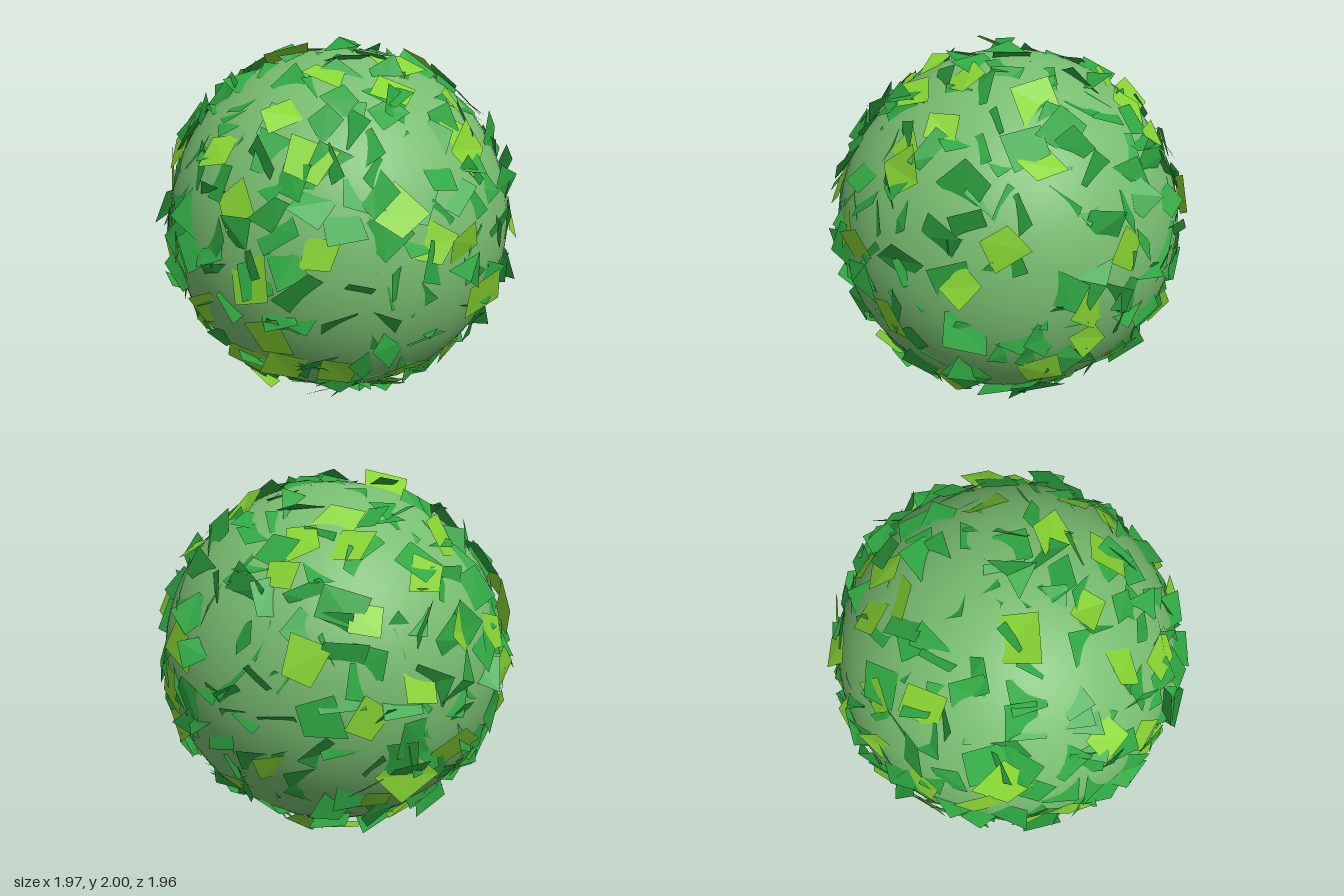
import * as THREE from 'three';

const CENTER = new THREE.Vector3(0, 1.01, 0);
const R = 0.923;
// Leaves stay inside these limits
const LIMIT = new THREE.Vector3(0.98, 0.985, 0.98);
const LOW = LIMIT.clone().negate();

// Small seeded generator
let seed = 20;
function rnd(a = 0, b = 1) {
  seed = (seed * 1664525 + 1013904223) % 4294967296;
  return a + (b - a) * (seed / 4294967296);
}

// Bright leaves at chosen places, as two coordinates on each side of the ball
const FRONT = [[-0.05, 0.76], [-0.55, 0.67], [0.27, 0.48], [0.3, 0.69], [-0.25, 0.28], [-0.6, 0.1], [-0.09, 0.11],
  [0.08, 0.09], [0.65, 0.04], [-0.07, -0.61], [-0.42, -0.56], [0.3, -0.23], [0.35, -0.66], [-0.62, -0.54]];
const RIGHT = [[0.25, 0.57], [-0.45, 0.77], [0.48, 0.24], [-0.1, 0.14], [0.08, -0.09], [0.08, -0.31],
  [-0.72, 0.19], [0.28, -0.46], [-0.25, -0.56], [-0.53, -0.38], [0.7, 0.57], [-0.7, -0.58], [-0.5, 0.54]];
const TOP = [[-0.5, -0.75], [-0.06, -0.76], [0.3, -0.8], [-0.26, -0.58], [0.25, -0.6], [0.42, -0.45], [-0.72, -0.4],
  [-0.25, -0.08], [-0.77, 0.1], [-0.27, 0.28], [0.13, 0.32], [0.48, 0.12], [-0.55, 0.55]];
const rest = (a, b) => Math.sqrt(Math.max(0.001, R * R - a * a - b * b));

// Evenly spread directions, shaken a little
function spread(count) {
  return Array.from({ length: count }, (_, i) => {
    const y = 1 - (2 * (i + 0.5)) / count;
    const r = Math.sqrt(1 - y * y), a = i * 2.39996;
    return new THREE.Vector3(r * Math.cos(a) + rnd(-0.1, 0.1), y + rnd(-0.1, 0.1), r * Math.sin(a) + rnd(-0.1, 0.1)).normalize();
  });
}

// One uneven four-cornered leaf, tilted against the ball and partly sunk in it
function leafCorners(dir, tilt, size, lift) {
  const n = dir.clone().add(new THREE.Vector3(rnd(-tilt, tilt), rnd(-tilt, tilt), rnd(-tilt, tilt))).normalize();
  const u = new THREE.Vector3(rnd(-1, 1), rnd(-1, 1), rnd(-1, 1)).cross(n).normalize();
  const v = n.clone().cross(u);
  const c = dir.clone().multiplyScalar(lift);
  return [[-1, -1], [1, -1], [1, 1], [-1, 1]].map(([a, b]) => c.clone()
    .addScaledVector(u, a * size * rnd(0.7, 1.2))
    .addScaledVector(v, b * size * rnd(0.7, 1.2))
    .addScaledVector(n, rnd(-0.015, 0.015))
    .clampLength(0, 1.02)
    .clamp(LOW, LIMIT));
}

// Gather leaves into a single flat-shaded mesh
function leafMesh(name, color, leaves) {
  const pos = [];
  for (const q of leaves)
    for (const i of [0, 1, 2, 0, 2, 3]) pos.push(...q[i].toArray());
  const geo = new THREE.BufferGeometry();
  geo.setAttribute('position', new THREE.Float32BufferAttribute(pos, 3));
  geo.computeVertexNormals();
  const mesh = new THREE.Mesh(geo, new THREE.MeshStandardMaterial({ color, side: THREE.DoubleSide }));
  mesh.name = name;
  mesh.position.copy(CENTER);
  return mesh;
}

export function createModel() {
  seed = 20;
  const group = new THREE.Group();
  group.name = 'leafyBush';

  // Smooth inner ball
  const ball = new THREE.Mesh(new THREE.SphereGeometry(R, 64, 48), new THREE.MeshStandardMaterial({ color: 0x78bd70 }));
  ball.name = 'bushCore';
  ball.position.copy(CENTER);
  group.add(ball);

  // Dark green leaves all round
  const green = spread(400).map((d) => leafCorners(d, 0.55, rnd(0.07, 0.11), rnd(0.885, 0.945)));

  // Tips that stand out furthest at the top, bottom and sides
  const tips = [[0, 0.99, 0], [0.02, -1.01, 0.18], [0.98, 0.02, 0.05], [-0.99, -0.04, 0], [0.1, -0.1, 0.98], [-0.15, 0.05, -0.98]];
  for (const t of tips) {
    const tip = new THREE.Vector3(...t);
    const q = leafCorners(tip.clone().normalize(), 0.1, 0.1, 0.935);
    q[0].copy(tip);
    green.push(q);
  }
  group.add(leafMesh('greenLeaves', 0x2fa842, green));

  // Bright leaves: chosen places, then scattered over the back, left and underside
  const bright = [
    ...FRONT.map(([x, y]) => new THREE.Vector3(x, y, rest(x, y))),
    ...RIGHT.map(([z, y]) => new THREE.Vector3(rest(z, y), y, z)),
    ...TOP.map(([x, z]) => new THREE.Vector3(x, rest(x, z), z)),
    ...spread(80).filter((d) => d.z < 0.5 && d.x < 0.4 && d.y < 0.4),
  ].map((d) => leafCorners(d.normalize(), 0.3, rnd(0.08, 0.115), rnd(0.93, 0.955)));
  group.add(leafMesh('brightLeaves', 0x88d633, bright));

  return group;
}
